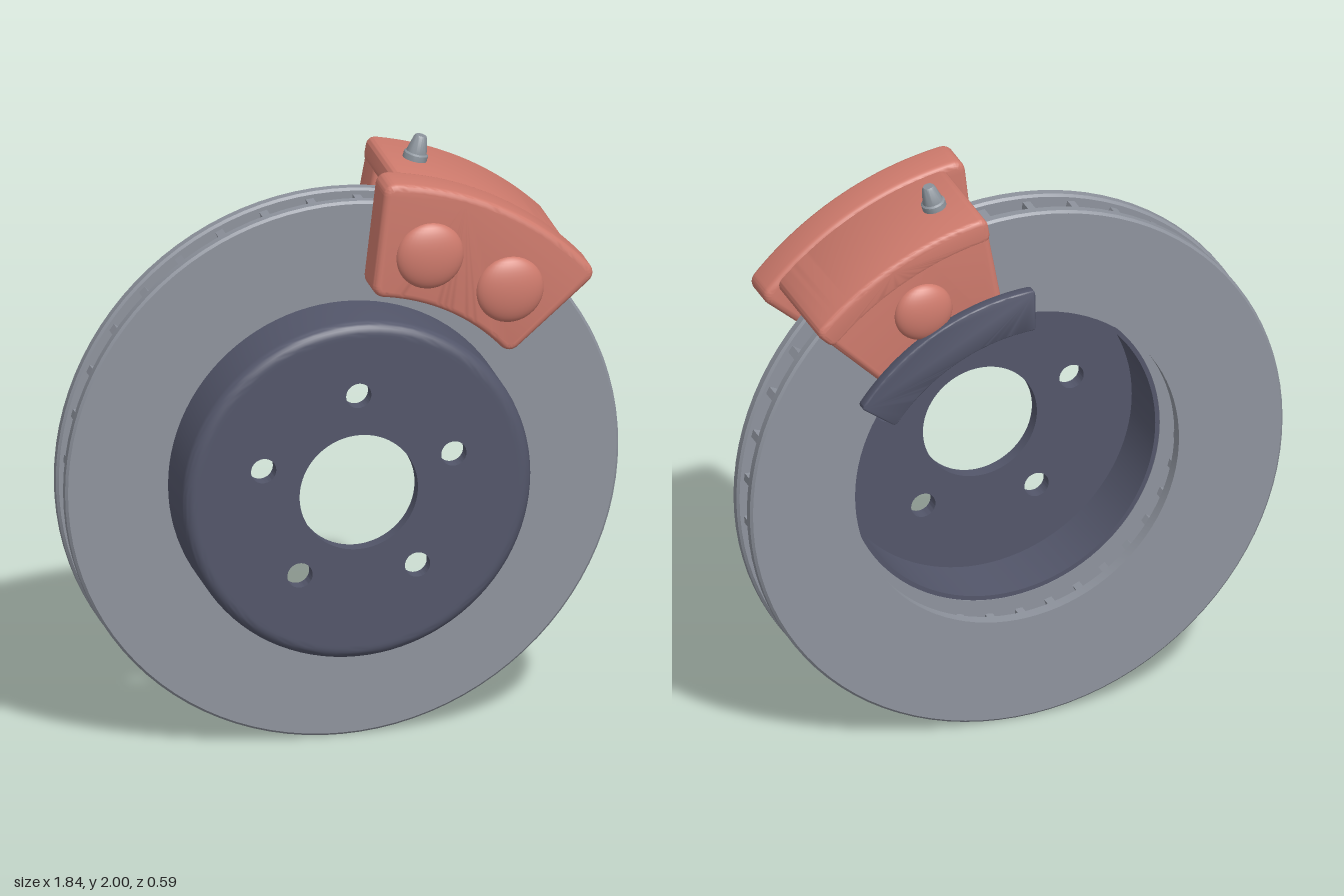
import * as THREE from 'three';
import { toCreasedNormals } from 'three/addons/utils/BufferGeometryUtils.js';

const rad = THREE.MathUtils.degToRad;
const mats = {};
const material = (name, color) => {
  mats[name] = new THREE.MeshStandardMaterial({ color });
  mats[name].name = name;
};

function add(parent, name, geo, mat) {
  const mesh = new THREE.Mesh(geo, mats[mat]);
  mesh.name = name;
  parent.add(mesh);
  return mesh;
}

// Solid of revolution around z; points are [radius, z], outer side with rising z
function turned(points, segments = 96) {
  const geo = new THREE.LatheGeometry(points.map(p => new THREE.Vector2(...p)), segments);
  return toCreasedNormals(geo.rotateX(Math.PI / 2), 0.5);
}

// Chamfered flat ring
function ring(rIn, rOut, z0, z1, c = 0.008) {
  return turned([[rIn, z0], [rOut - c, z0], [rOut, z0 + c], [rOut, z1 - c],
    [rOut - c, z1], [rIn, z1], [rIn, z0]]);
}

// Ring sector with rounded corners and edges; angles in degrees
function sector(r0, r1, d0, d1, z0, z1, b, k = 0.02) {
  const mid = (r0 + r1) / 2;
  const a0 = rad(d0) + b / mid, a1 = rad(d1) - b / mid;
  const ri = r0 + b, ro = r1 - b;
  const P = (r, a) => [r * Math.cos(a), r * Math.sin(a)];
  const s = new THREE.Shape();
  s.moveTo(...P(ri + k, a0));
  s.lineTo(...P(ro - k, a0));
  s.quadraticCurveTo(...P(ro, a0), ...P(ro, a0 + k / ro));
  s.absarc(0, 0, ro, a0 + k / ro, a1 - k / ro, false);
  s.quadraticCurveTo(...P(ro, a1), ...P(ro - k, a1));
  s.lineTo(...P(ri + k, a1));
  s.quadraticCurveTo(...P(ri, a1), ...P(ri, a1 - k / ri));
  s.absarc(0, 0, ri, a1 - k / ri, a0 + k / ri, true);
  s.quadraticCurveTo(...P(ri, a0), ...P(ri + k, a0));
  const geo = new THREE.ExtrudeGeometry(s, {
    depth: z1 - z0 - 2 * b, bevelEnabled: b > 0, bevelSize: b, bevelThickness: b,
    bevelSegments: 4, curveSegments: 20,
  });
  return toCreasedNormals(geo.translate(0, 0, z0 + b), 0.7);
}

function buildRotor() {
  const g = new THREE.Group();
  g.name = 'rotor';
  add(g, 'frontDisc', ring(0.54, 0.921, 0.028, 0.07), 'rotorGrey');
  add(g, 'rearDisc', ring(0.56, 0.921, -0.092, -0.05), 'rotorGrey');

  // Cooling vanes between the discs
  for (let i = 0; i < 36; i++) {
    const vane = new THREE.BoxGeometry(0.31, 0.026, 0.08);
    vane.translate(0.745, 0, -0.011).rotateZ(rad(i * 10 + 5));
    add(g, 'coolingVane', vane, 'rotorGrey');
  }

  // Hat: rounded wall, then a face with centre bore and bolt holes
  const R = 0.58, f = 0.04, zf = 0.285, zb = 0.24, rFace = 0.53;
  const wall = [[0.525, 0.03], [R - 0.03, 0.03], [R - 0.03, 0.068], [R, 0.068]];
  for (let i = 0; i <= 8; i++) {
    const a = i / 8 * Math.PI / 2;
    wall.push([R - f + f * Math.cos(a), zf - f + f * Math.sin(a)]);
  }
  wall.push([rFace, zf], [rFace, zb], [0.525, zb], [0.525, 0.03]);
  add(g, 'hatWall', turned(wall), 'hatDark');

  const face = new THREE.Shape().absarc(0, 0, rFace, 0, Math.PI * 2, false);
  face.holes.push(new THREE.Path().absarc(0, 0, 0.197, 0, Math.PI * 2, true));
  for (let i = 0; i < 5; i++) {
    const a = rad(90 + i * 72);
    face.holes.push(new THREE.Path().absarc(
      0.333 * Math.cos(a), 0.333 * Math.sin(a), 0.042, 0, Math.PI * 2, true));
  }
  const faceGeo = new THREE.ExtrudeGeometry(face,
    { depth: zf - zb, bevelEnabled: false, curveSegments: 48 });
  add(g, 'hatFace', toCreasedNormals(faceGeo.translate(0, 0, zb), 0.5), 'hatDark');
  return g;
}

function buildCaliper() {
  const g = new THREE.Group();
  g.name = 'caliper';
  const mid = 62;
  const at = (mesh, r, deg, z) =>
    mesh.position.set(r * Math.cos(rad(deg)), r * Math.sin(rad(deg)), z);

  add(g, 'frontBody', sector(0.655, 1.045, mid - 22.8, mid + 22.8, 0.112, 0.254, 0.022), 'caliperRed');
  add(g, 'rearBody', sector(0.66, 1.03, mid - 19, mid + 19, -0.25, -0.11, 0.022), 'caliperRed');
  add(g, 'bridge', sector(0.945, 1.033, mid - 19, mid + 19, -0.252, 0.22, 0.018, 0.012), 'caliperRed');

  // Piston domes
  for (const [deg, z, r] of [[51.4, 0.25, 0.113], [72.6, 0.25, 0.113], [mid, -0.248, 0.1]]) {
    const dome = add(g, 'pistonDome', new THREE.SphereGeometry(r, 32, 20), 'caliperRed');
    dome.scale.z = 0.044 / r;
    at(dome, 0.82, deg, z);
  }

  // Pad backing plates and rear mounting bracket
  add(g, 'frontPad', sector(0.67, 0.93, mid - 18, mid + 18, 0.1, 0.118, 0.003), 'hatDark');
  add(g, 'rearPad', sector(0.67, 0.93, mid - 18, mid + 18, -0.13, -0.11, 0.003), 'hatDark');
  add(g, 'mountBracket', sector(0.605, 0.75, mid - 27, mid + 27, -0.294, -0.254, 0.006, 0.008), 'hatDark');

  // Slide pins on the bracket
  for (const side of [-1, 1]) {
    const pin = add(g, 'slidePin', new THREE.CylinderGeometry(0.034, 0.034, 0.045, 20), 'steel');
    pin.rotation.x = Math.PI / 2;
    at(pin, 0.68, mid + side * 21.5, -0.234);
  }

  // Bleed nipple pointing outwards
  const profile = [[0, 0], [0.04, 0], [0.04, 0.022], [0.034, 0.027], [0.022, 0.078],
    [0.017, 0.085], [0, 0.085]].map(p => new THREE.Vector2(...p));
  const nipple = add(g, 'bleedNipple',
    toCreasedNormals(new THREE.LatheGeometry(profile, 20), 0.5), 'steel');
  nipple.rotation.z = rad(74.5 - 90);
  at(nipple, 1.03, 74.5, -0.067);
  return g;
}

export function createModel() {
  material('rotorGrey', 0x8e939d);
  material('hatDark', 0x53566a);
  material('caliperRed', 0xcf7b6d);
  material('steel', 0x8c949c);
  const model = new THREE.Group();
  model.name = 'discBrake';
  const rotor = buildRotor(), caliper = buildCaliper();
  rotor.position.y = caliper.position.y = 0.922;
  model.add(rotor, caliper);
  return model;
}
